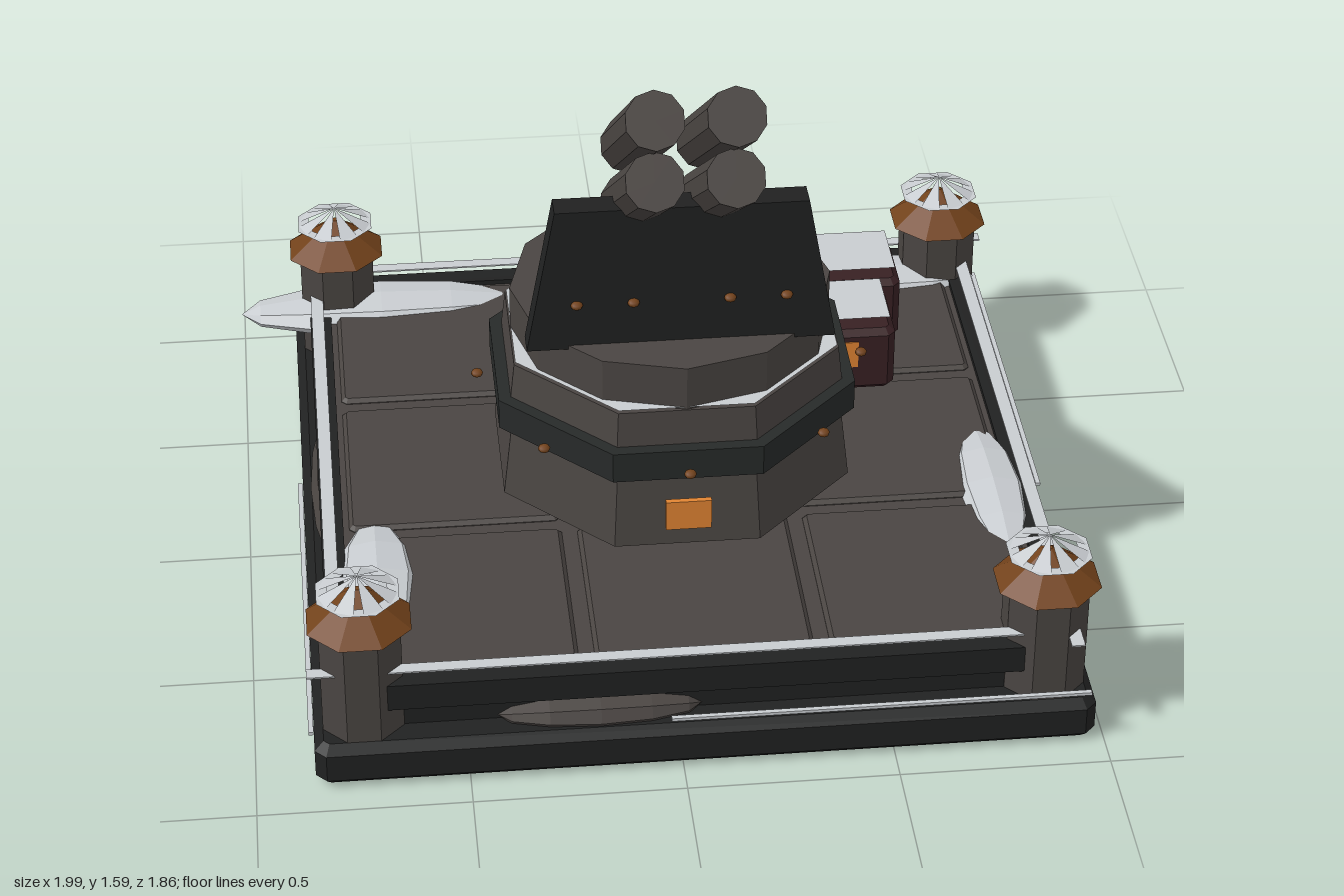
import * as THREE from 'three';

const mat = (name, color) => {
  const m = new THREE.MeshStandardMaterial({ color });
  m.name = name;
  return m;
};

// Facet a geometry so every side has a flat normal
const flat = (g) => {
  const f = g.index ? g.toNonIndexed() : g;
  f.computeVertexNormals();
  return f;
};

// Prism with n sides, a flat side facing each axis; sizes are apothems
const prism = (top, bottom, h, n = 8) => {
  const k = 1 / Math.cos(Math.PI / n);
  return flat(new THREE.CylinderGeometry(top * k, bottom * k, h, n).rotateY(Math.PI / n));
};

// Box with chamfered edges, centred
const bevelBox = (w, h, d, b) => {
  const x = w / 2 - b, z = d / 2 - b, c = b * 0.6;
  const pts = [[x, -z + c], [x, z - c], [x - c, z], [-x + c, z], [-x, z - c], [-x, -z + c], [-x + c, -z], [x - c, -z]];
  const shape = new THREE.Shape(pts.map((p) => new THREE.Vector2(...p)));
  const g = new THREE.ExtrudeGeometry(shape, {
    depth: h - 2 * b, bevelEnabled: true, bevelSize: b, bevelThickness: b, bevelSegments: 1,
  });
  return flat(g.translate(0, 0, b - h / 2).rotateX(-Math.PI / 2));
};

export function createModel() {
  const black = mat('blackened iron', 0x202121);
  const iron = mat('dark iron', 0x272a29);
  const stone = mat('grey plating', 0x4a4542);
  const copper = mat('copper', 0x72421b);
  const snow = mat('snow', 0xc8ccd0);
  const maroon = mat('dark red', 0x382023);
  const orange = mat('orange glow', 0xe08432);
  snow.side = THREE.DoubleSide;

  const model = new THREE.Group();
  const body = new THREE.Group(); // platform and turret share one axis
  body.name = 'emplacement';
  body.position.x = 0.06;
  model.add(body);

  const add = (parent, name, geo, material, x = 0, y = 0, z = 0) => {
    const m = new THREE.Mesh(geo, material);
    m.name = name;
    m.position.set(x, y, z);
    parent.add(m);
    return m;
  };
  const box = (w, h, d) => new THREE.BoxGeometry(w, h, d);
  const sheet = (w, d) => new THREE.PlaneGeometry(w, d).rotateX(-Math.PI / 2);

  // Stepped platform with a plated deck
  add(body, 'base', bevelBox(1.84, 0.115, 1.84, 0.022), black, 0, 0.0575, 0);
  add(body, 'platformStep', box(1.68, 0.08, 1.68), black, 0, 0.15, 0);
  add(body, 'deck', box(1.66, 0.06, 1.66), stone, 0, 0.216, 0);
  const plate = bevelBox(0.515, 0.03, 0.515, 0.01);
  for (let i = -1; i <= 1; i++)
    for (let j = -1; j <= 1; j++) add(body, 'deckPlate', plate, stone, i * 0.553, 0.243, j * 0.553);

  // Deck edge, built once per side
  for (let i = 0; i < 4; i++) {
    const side = new THREE.Group();
    side.name = 'deckEdge';
    side.rotation.y = (i * Math.PI) / 2;
    body.add(side);
    add(side, 'edgeBeam', box(1.7, 0.07, 0.055), black, 0, 0.224, 0.8525);
    add(side, 'edgeSnow', box(1.69, 0.004, 0.032), snow, -0.085, 0.293, 0.86);
    add(side, 'ledgeIce', box(0.99, 0.008, 0.012), snow, 0.405, 0.15, 0.926);
  }

  // Corner posts with copper caps and snow petals
  for (const sx of [-1, 1])
    for (const sz of [-1, 1]) {
      const post = new THREE.Group();
      post.name = 'cornerPost';
      post.position.set(sx * 0.803, 0, sz * 0.803);
      body.add(post);
      add(post, 'postShaft', prism(0.095, 0.095, 0.3), stone, 0, 0.255, 0);
      add(post, 'postCap', prism(0.008, 0.12, 0.09), copper, 0, 0.445, 0);
      for (let i = 0; i < 8; i++) {
        const a = (i * Math.PI) / 4;
        add(post, 'snowPetal', flat(new THREE.ConeGeometry(0.094, 0.045, 1, 1, true, a + 0.13, 0.53)), snow, 0, 0.502, 0);
      }
      const rim = new THREE.RingGeometry(0.074, 0.103, 8).rotateX(-Math.PI / 2).rotateY(Math.PI / 8);
      add(post, 'snowRim', rim, snow, 0, 0.48, 0);
    }

  // Turret tiers
  add(body, 'turretBase', prism(0.402, 0.426, 0.21), stone, 0, 0.388, 0);
  add(body, 'turretRing', prism(0.435, 0.435, 0.08), iron, 0, 0.52, 0);
  add(body, 'turretCollar', prism(0.395, 0.405, 0.092), stone, 0, 0.604, 0);
  const collarSnow = new THREE.RingGeometry(0.36, 0.424, 8).rotateX(-Math.PI / 2).rotateY(Math.PI / 8);
  add(body, 'collarSnow', collarSnow, snow, 0, 0.656, 0);
  add(body, 'turretDrum', flat(new THREE.CylinderGeometry(0.393, 0.393, 0.115, 12)), stone, 0, 0.708, 0);

  // Rivets around the ring and on the shield
  const rivet = new THREE.SphereGeometry(0.015, 8, 6).scale(1, 0.7, 1);
  for (let i = 0; i < 8; i++) {
    const a = (i * Math.PI) / 4;
    add(body, 'ringRivet', rivet, copper, 0.477 * Math.sin(a), 0.522, 0.477 * Math.cos(a));
  }
  for (const x of [-0.25, -0.115, 0.115, 0.25]) add(body, 'shieldRivet', rivet, copper, x, 0.88, 0.27);

  // Sloped shield
  const shieldShape = new THREE.Shape([[-0.37, 0.755], [0.37, 0.755], [0.3, 1.135], [-0.3, 1.135]].map((p) => new THREE.Vector2(...p)));
  add(body, 'shield', new THREE.ExtrudeGeometry(shieldShape, { depth: 0.066, bevelEnabled: false }), black, 0, 0, 0.2);

  // Four launch tubes pointing up and forward
  const tube = flat(new THREE.CylinderGeometry(0.069, 0.069, 0.784, 10).rotateX(Math.PI / 2));
  for (const x of [-0.092, 0.092])
    for (const y of [1.15, 1.31]) add(body, 'launchTube', tube, stone, x, y, 0.213).rotation.x = -0.603;

  // Lit window panel
  add(body, 'windowPanel', box(0.11, 0.08, 0.014), orange, 0, 0.383, 0.445);

  // Supply crates, each under a thin sheet of snow
  for (const [x, z] of [[0.57, -0.508], [0.523, -0.28]]) {
    add(model, 'crate', bevelBox(0.265, 0.18, 0.205, 0.016), maroon, x, 0.372, z);
    add(model, 'crateSnow', sheet(0.235, 0.18), snow, x, 0.495, z);
  }
  add(model, 'crateLabel', box(0.07, 0.075, 0.004), orange, 0.525, 0.395, -0.1765);

  // Snow drifts and rubble: flattened, faceted mounds
  const mound = (name, material, p, s, alongX) => {
    const g = new THREE.SphereGeometry(1, 8, 6);
    if (alongX) g.rotateZ(Math.PI / 2);
    else g.rotateX(Math.PI / 2);
    add(model, name, flat(g.scale(...s)), material, ...p);
  };
  mound('snowDrift', snow, [-0.63, 0.235, -0.76], [0.37, 0.049, 0.105], true);
  mound('snowDrift', snow, [0.72, 0.235, -0.76], [0.24, 0.049, 0.105], true);
  mound('snowDrift', snow, [0.84, 0.235, 0.23], [0.09, 0.049, 0.27], false);
  mound('snowDrift', snow, [-0.69, 0.235, 0.455], [0.105, 0.049, 0.235], false);
  mound('rubble', stone, [-0.19, 0.125, 0.84], [0.24, 0.042, 0.06], true);
  mound('rubble', stone, [0.1, 0.125, -0.84], [0.25, 0.042, 0.06], true);
  mound('rubble', stone, [0.9, 0.128, 0.14], [0.06, 0.054, 0.43], false);
  mound('rubble', stone, [-0.78, 0.128, -0.1], [0.06, 0.05, 0.32], false);

  return model;
}
